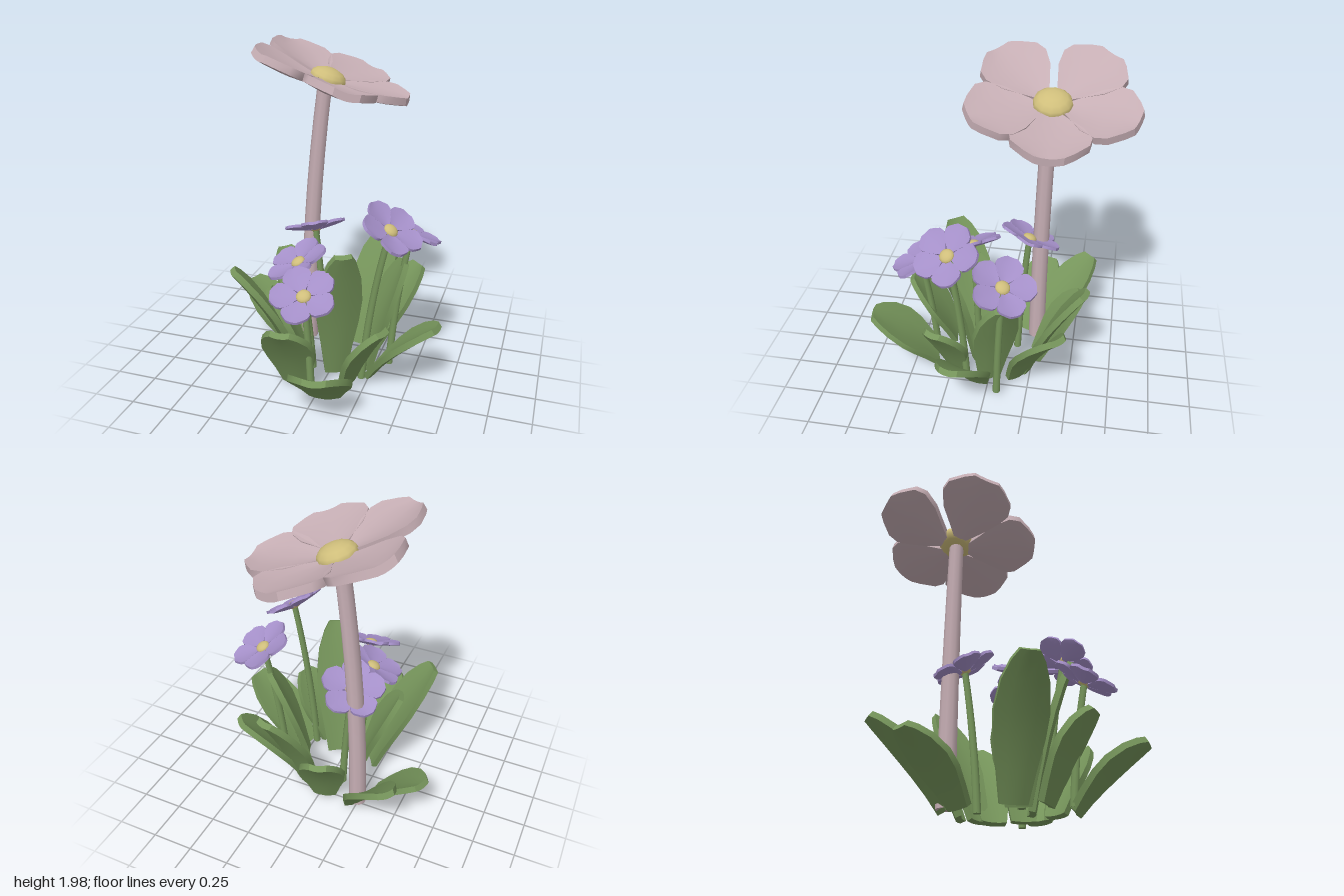
import * as THREE from 'three';

const material = (name, color) => {
  const m = new THREE.MeshStandardMaterial({ color });
  m.name = name;
  return m;
};
const V = (p) => new THREE.Vector3(...p);

// Blade outlines: [position along the blade, share of full width]
const LEAF = [[0, 0.5], [0.2, 0.7], [0.4, 0.92], [0.58, 1], [0.78, 0.86], [0.92, 0.6], [1, 0.35]];
const PETAL = [[0, 0.16], [0.18, 0.46], [0.38, 0.8], [0.6, 1], [0.76, 0.94], [0.92, 0.6], [1, 0.36]];

// Thick blade swept from base to tip along an arc, with raised edges
function blade(base, tip, outline, width, thickness, cup, bend) {
  const a = V(base), c = V(tip), d = c.clone().sub(a);
  const mid = a.clone().add(new THREE.Vector3(d.x * bend[0], d.y * bend[1], d.z * bend[0]));
  const curve = new THREE.QuadraticBezierCurve3(a, mid, c);
  const side = new THREE.Vector3(d.z, 0, -d.x).normalize();
  const rows = outline.length - 1;
  const geo = new THREE.BoxGeometry(2, 1, 1, 4, 1, rows);
  const pos = geo.attributes.position;
  for (let i = 0; i < pos.count; i++) {
    const u = pos.getX(i);
    const [t, share] = outline[Math.round((pos.getZ(i) + 0.5) * rows)];
    const w = share * width / 2;
    const normal = curve.getTangent(t).cross(side);
    const p = curve.getPoint(t)
      .addScaledVector(side, u * w)
      .addScaledVector(normal, pos.getY(i) * thickness + cup * u * u * w);
    pos.setXYZ(i, p.x, p.y, p.z);
  }
  geo.computeVertexNormals();
  return geo;
}

// Round stem following a bent path
function stemGeometry(points, bottomRadius, topRadius) {
  const curve = new THREE.QuadraticBezierCurve3(...points.map(V));
  const geo = new THREE.CylinderGeometry(topRadius, bottomRadius, 1, 10, 8);
  const pos = geo.attributes.position;
  for (let i = 0; i < pos.count; i++) {
    const p = curve.getPoint(pos.getY(i) + 0.5);
    pos.setXYZ(i, p.x + pos.getX(i), p.y, p.z + pos.getZ(i));
  }
  return geo;
}

export function createModel() {
  const model = new THREE.Group();
  const green = material('leaf green', 0x76955b);
  const pink = material('dusty pink', 0xc6aeb4);
  const purple = material('lavender', 0xa48fc8);
  const yellow = material('pollen yellow', 0xcfbe7b);

  const add = (parent, name, geo, mat) => {
    const mesh = new THREE.Mesh(geo, mat);
    mesh.name = name;
    parent.add(mesh);
    return mesh;
  };

  // Flower head with petals at the given angles, tilted so its axis follows the normal
  function flower(name, center, normal, angles, size, mat) {
    const head = new THREE.Group();
    head.name = name;
    for (const angle of angles) {
      const a = THREE.MathUtils.degToRad(angle);
      const at = (r, y) => [Math.cos(a) * r, y, Math.sin(a) * r];
      add(head, 'petal', blade(at(0.07, -0.005), at(0.49, 0.068), PETAL, 0.43, 0.044, 0.16, [0.5, 0.3]), mat);
    }
    const core = add(head, 'flowerCenter', new THREE.SphereGeometry(0.114, 12, 8), yellow);
    core.scale.y = 0.58;
    core.position.y = 0.018;
    head.scale.setScalar(size);
    head.position.set(...center);
    head.quaternion.setFromUnitVectors(new THREE.Vector3(0, 1, 0), V(normal).normalize());
    model.add(head);
  }

  // Large flower
  flower('largeFlower', [-0.142, 1.747, -0.3], [0.32, 0.94, -0.06], [-74, -4, 61, 132, 217], 1, pink);
  add(model, 'largeStem',
    stemGeometry([[-0.25, 0.04, -0.25], [-0.25, 0.9, -0.25], [-0.15, 1.735, -0.29]], 0.054, 0.044), pink);

  // Small flowers: center, facing, first petal angle, stem foot
  const smallFlowers = [
    [[0.44, 0.915, -0.12], [0.38, 0.88, -0.3], 39, [0.34, 0.04, -0.07]],
    [[0.385, 1.052, 0.195], [0.55, 0.8, 0.2], -80, [0.22, 0.04, 0.14]],
    [[-0.165, 0.768, 0.165], [-0.38, 0.88, 0.25], -5, [-0.1, 0.04, 0.12]],
    [[-0.025, 0.715, 0.465], [0.04, 0.87, 0.48], 20, [-0.02, 0.04, 0.38]],
    [[-0.18, 0.843, -0.19], [-0.27, 0.9, -0.34], 0, [-0.1, 0.04, -0.14]],
  ];
  for (const [center, normal, phase, foot] of smallFlowers) {
    const angles = [0, 1, 2, 3, 4].map((i) => phase + i * 72);
    flower('smallFlower', center, normal, angles, 0.385, purple);
    const [x, y, z] = center;
    const bend = [foot[0] + (x - foot[0]) * 0.25, y * 0.55, foot[2] + (z - foot[2]) * 0.25];
    add(model, 'smallStem', stemGeometry([foot, bend, [x, y - 0.01, z]], 0.023, 0.019), green);
  }

  // Leaves: base, tip, width
  const leaves = [
    [[-0.31, 0.02, -0.14], [-0.67, 0.37, -0.29], 0.3],
    [[0.27, 0.04, 0.07], [0.67, 0.46, 0.15], 0.31],
    [[0.06, 0.02, 0.37], [0.13, 0.37, 0.76], 0.37],
    [[-0.15, 0.03, 0.29], [-0.14, 0.5, 0.56], 0.32],
    [[-0.2, 0.04, 0.12], [-0.5, 0.74, 0.35], 0.3],
    [[0.05, 0.04, 0.12], [0.16, 0.92, 0.33], 0.27],
    [[0.18, 0.04, -0.18], [0.44, 0.57, -0.44], 0.3],
    [[0.22, 0.04, -0.01], [0.41, 0.73, -0.12], 0.28],
    [[0.1, 0.04, -0.24], [0.2, 0.74, -0.57], 0.29],
    [[-0.24, 0.03, -0.27], [-0.55, 0.5, -0.57], 0.28],
    [[0.16, 0.04, 0.22], [0.39, 0.47, 0.31], 0.28],
    [[-0.14, 0.04, 0.12], [-0.35, 0.57, 0.2], 0.28],
    [[-0.04, 0.03, -0.28], [-0.12, 0.5, -0.54], 0.28],
  ];
  for (const [base, tip, width] of leaves) {
    add(model, 'leaf', blade(base, tip, LEAF, width, 0.036, 0.16, [0.4, 0.58]), green);
  }

  return model;
}
